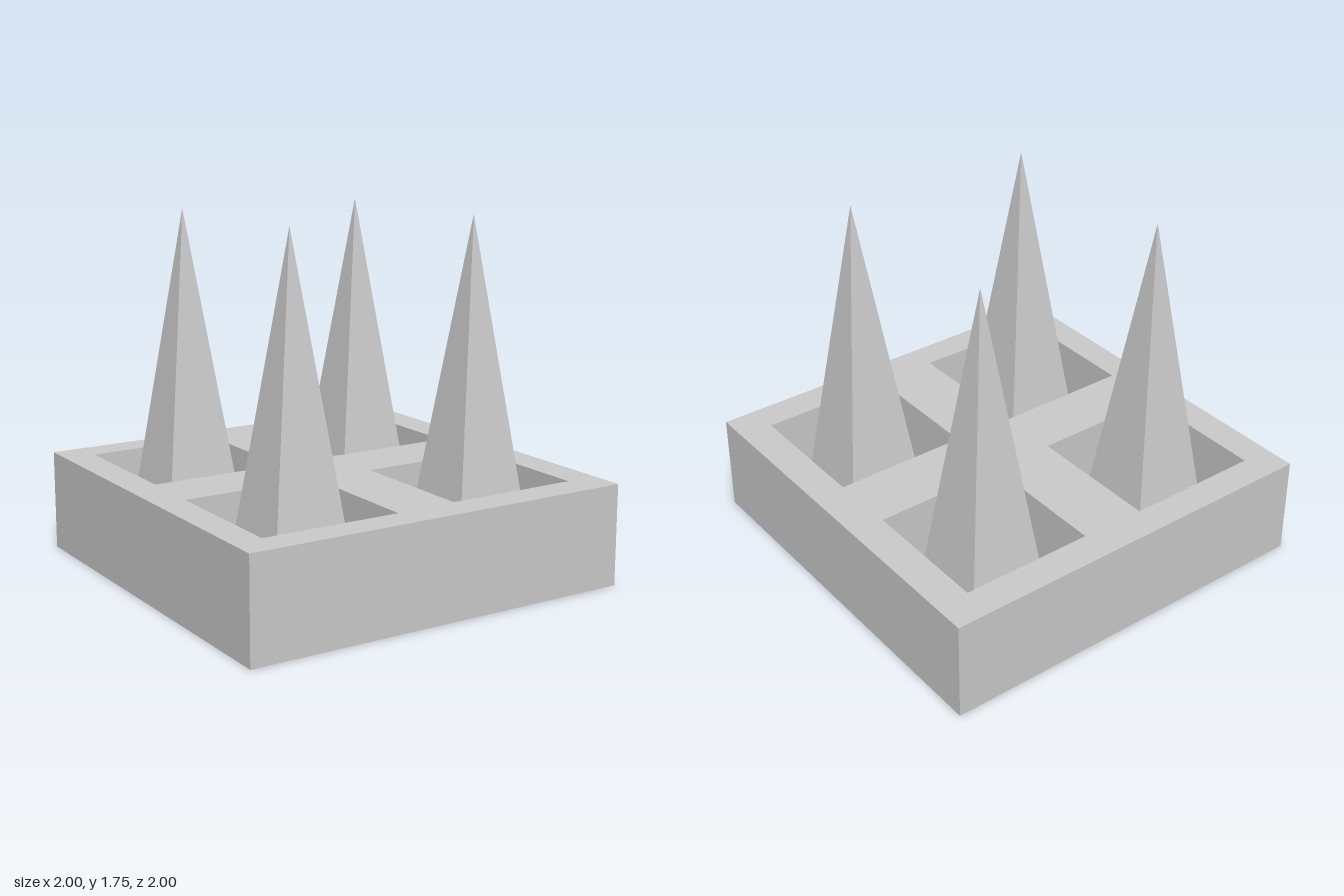
import * as THREE from 'three';

const HEIGHT = 0.5, FLOOR = 0.133, TIP = 1.755, SPIKE_HALF = 0.2165;

// Pit rims: x min, x max, z min, z max
const PITS = [
  { name: 'BackRight', rim: [-0.845, -0.16, -0.845, -0.16] },
  { name: 'BackLeft', rim: [0.163, 0.83, -0.835, -0.17] },
  { name: 'FrontRight', rim: [-0.85, -0.155, 0.15, 0.845] },
  { name: 'FrontLeft', rim: [0.158, 0.835, 0.16, 0.835] },
];

// Box without its top face
function openBox(w, h, d) {
  const geometry = new THREE.BoxGeometry(w, h, d);
  const index = Array.from(geometry.index.array);
  index.splice(12, 6);
  geometry.setIndex(index);
  geometry.clearGroups();
  return geometry;
}

// Rectangle in plan; shape y becomes -z once laid flat
function rectangle(Type, [x0, x1, z0, z1]) {
  return new Type().moveTo(x0, -z1).lineTo(x1, -z1).lineTo(x1, -z0).lineTo(x0, -z0).closePath();
}

export function createModel() {
  const model = new THREE.Group();
  model.name = 'spikeTray';
  const material = new THREE.MeshStandardMaterial({ color: 0xcccccc, flatShading: true });

  function add(parent, name, geometry, x = 0, y = 0, z = 0) {
    const mesh = new THREE.Mesh(geometry, material);
    mesh.name = name;
    mesh.position.set(x, y, z);
    parent.add(mesh);
  }

  // Slab: outer sides and underside, then a top face pierced by the pits
  const slab = new THREE.Group();
  slab.name = 'slab';
  model.add(slab);
  add(slab, 'slabSides', openBox(2, HEIGHT, 2), 0, HEIGHT / 2, 0);
  const top = rectangle(THREE.Shape, [-1, 1, -1, 1]);
  for (const { rim } of PITS) top.holes.push(rectangle(THREE.Path, rim));
  add(slab, 'slabTop', new THREE.ShapeGeometry(top).rotateX(-Math.PI / 2), 0, HEIGHT, 0);

  // Square spike rising from each pit floor
  const spikeHeight = TIP - FLOOR;
  const spike = new THREE.ConeGeometry(SPIKE_HALF * Math.SQRT2, spikeHeight, 4, 1, true, Math.PI / 4);

  for (const { name, rim: [x0, x1, z0, z1] } of PITS) {
    // Mirroring the open box turns its faces inward
    const pit = openBox(x1 - x0, HEIGHT - FLOOR, z1 - z0).scale(-1, 1, 1);
    pit.computeVertexNormals();
    add(model, 'pit' + name, pit, (x0 + x1) / 2, (HEIGHT + FLOOR) / 2, (z0 + z1) / 2);
    add(model, 'spike' + name, spike, Math.sign(x0) * 0.5, FLOOR + spikeHeight / 2, Math.sign(z0) * 0.5);
  }
  return model;
}
